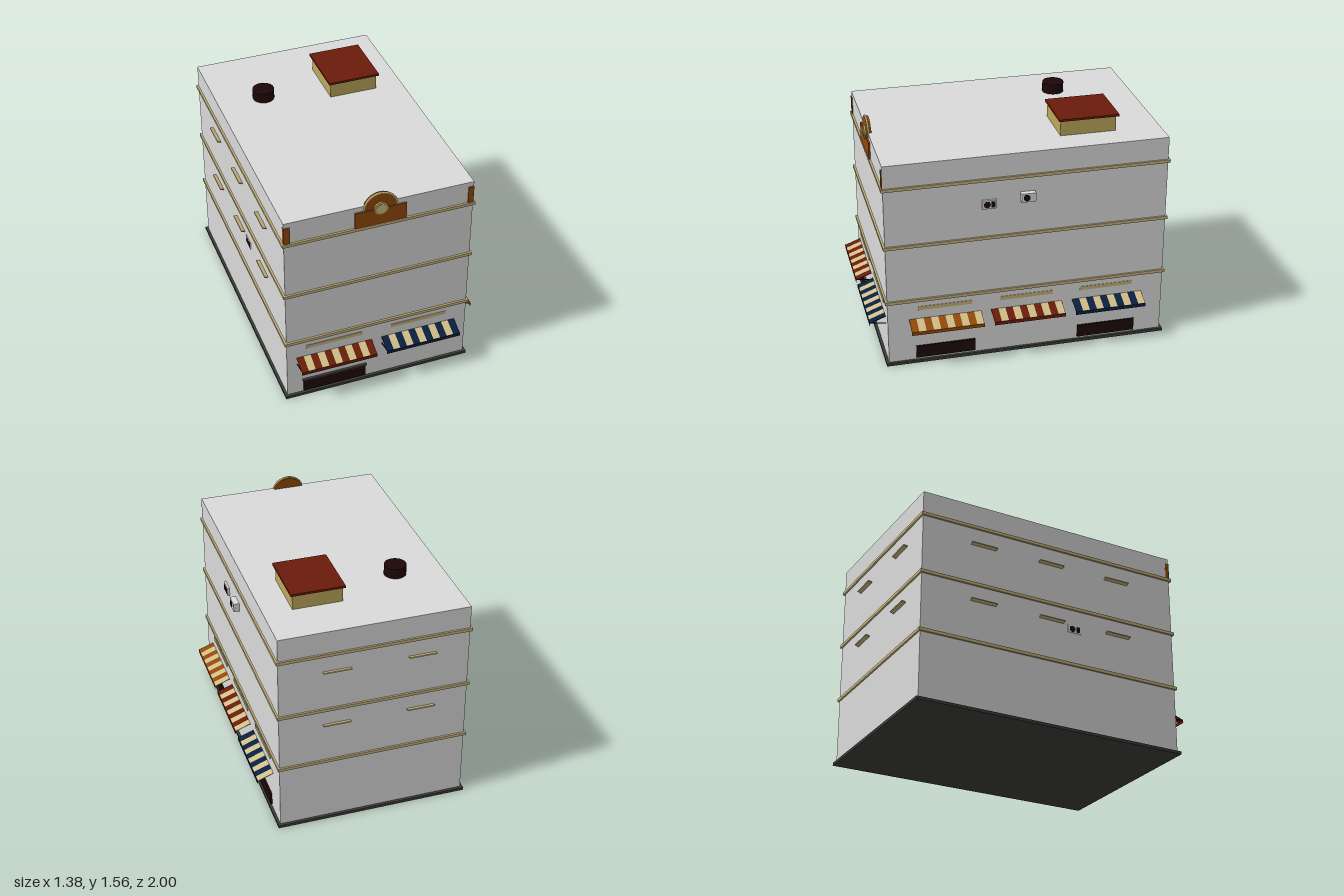
import * as THREE from 'three';

const mat = (name, color) => {
  const m = new THREE.MeshStandardMaterial({ color });
  m.name = name;
  return m;
};

export function createModel() {
  const M = {
    wall: mat('wall grey', 0xdadada),
    base: mat('plinth charcoal', 0x3c3d38),
    trim: mat('trim sand', 0xc6b47c),
    cream: mat('awning cream', 0xd0be88),
    red: mat('brick red', 0x6b1c0a),
    blue: mat('navy', 0x0a2040),
    orange: mat('ochre', 0x924a0a),
    dark: mat('dark brown', 0x1e0607),
    hut: mat('rooftop yellow', 0xbca85c),
  };
  const root = new THREE.Group();
  root.name = 'building';

  const add = (name, geo, material, parent = root) => {
    const mesh = new THREE.Mesh(geo, material);
    mesh.name = name;
    parent.add(mesh);
    return mesh;
  };
  // Box given by its minimum and maximum corners
  const box = (name, material, x0, x1, y0, y1, z0, z1, parent = root) => {
    const b = add(name, new THREE.BoxGeometry(x1 - x0, y1 - y0, z1 - z0), material, parent);
    b.position.set((x0 + x1) / 2, (y0 + y1) / 2, (z0 + z1) / 2);
    return b;
  };
  // Disc facing +z, or +x / -x when turned
  const disc = (name, material, r, depth, x, y, z, turn = 0) => {
    const g = new THREE.CylinderGeometry(r, r, depth, 32).rotateX(Math.PI / 2).rotateY(turn);
    const d = add(name, g, material);
    d.position.set(x, y, z);
    return d;
  };

  // Main block, plinth and storey ledges
  const X0 = -0.665, X1 = 0.582, Z0 = -0.972, Z1 = 0.892;
  box('walls', M.wall, X0, X1, 0.01, 1.44, Z0, Z1);
  box('plinth', M.base, -0.682, 0.599, 0, 0.02, -0.99, 0.91);
  for (const y of [0.467, 0.867, 1.276])
    box('ledge', M.trim, -0.678, 0.594, y - 0.0105, y + 0.0105, -0.984, 0.905);

  // Front crest: block, round head with rim, medallion, corner strips
  box('crestBlock', M.orange, -0.21, 0.13, 1.285, 1.403, 0.885, 0.903);
  disc('crestHead', M.orange, 0.107, 0.026, -0.04, 1.403, 0.882);
  const rim = add('crestRim', new THREE.TorusGeometry(0.108, 0.007, 8, 32, Math.PI), M.trim);
  rim.position.set(-0.04, 1.403, 0.889);
  disc('medallionRing', M.hut, 0.045, 0.012, -0.04, 1.406, 0.902);
  disc('medallion', M.cream, 0.031, 0.014, -0.04, 1.406, 0.903);
  box('cornerStrip', M.orange, X0 - 0.001, -0.625, 1.285, 1.406, 0.87, 0.898);
  box('cornerStrip', M.orange, 0.545, X1, 1.285, 1.406, 0.885, 0.898);

  // Rooftop hut and tank
  box('roofHut', M.hut, 0.07, 0.395, 1.435, 1.545, -0.67, -0.3);
  box('roofHutCap', M.red, 0.056, 0.41, 1.543, 1.558, -0.687, -0.287);
  const tank = add('roofTank', new THREE.CylinderGeometry(0.072, 0.072, 0.07, 24), M.dark);
  tank.position.set(-0.352, 1.473, -0.455);

  // Striped awning facing +z, its back edge on the wall
  const awning = (color, width, stripes, x, z, turn, arms) => {
    const g = new THREE.Group();
    g.name = 'awning';
    const w = width / stripes, reach = 0.105, drop = 0.04;
    const slope = Math.atan2(drop, reach), length = Math.hypot(reach, drop);
    for (let i = 0; i < stripes; i++) {
      const s = add('awningStripe', new THREE.BoxGeometry(w, 0.005, length), i % 2 ? M.cream : color, g);
      s.position.set(-width / 2 + (i + 0.5) * w, 0.306, reach / 2);
      s.rotation.x = slope;
    }
    box('awningValance', color, -width / 2, width / 2, 0.268, 0.292, reach - 0.001, reach + 0.003, g);
    for (const side of arms ? [-1, 1] : []) {
      const arm = add('awningArm', new THREE.BoxGeometry(0.006, 0.005, 0.104), M.dark, g);
      arm.position.set(side * (width / 2 - 0.004), 0.28, reach / 2);
      arm.rotation.x = -0.17;
    }
    g.position.set(x, 0, z);
    g.rotation.y = turn;
    root.add(g);
  };
  awning(M.red, 0.516, 11, -0.34, Z1, 0, true);
  awning(M.blue, 0.516, 11, 0.245, Z1, 0, true);
  awning(M.orange, 0.48, 10, X1, 0.512, Math.PI / 2, false);
  awning(M.red, 0.48, 10, X1, -0.036, Math.PI / 2, false);
  awning(M.blue, 0.48, 10, X1, -0.588, Math.PI / 2, false);

  // Sign strips above the awnings
  for (const x of [-0.34, 0.245])
    box('signStrip', M.trim, x - 0.193, x + 0.193, 0.39, 0.417, Z1 - 0.002, Z1 + 0.003);
  for (const z of [0.51, -0.036, -0.58])
    box('signStrip', M.trim, X1 - 0.002, X1 + 0.003, 0.39, 0.417, z - 0.18, z + 0.18);

  // Low shop windows
  box('frontWindow', M.dark, -0.555, -0.125, 0.03, 0.122, Z1 - 0.005, Z1 + 0.01);
  box('frontWindowHood', M.base, -0.562, -0.118, 0.119, 0.129, Z1 - 0.005, Z1 + 0.016);
  for (const z of [0.512, -0.586])
    box('sideWindow', M.dark, X1 - 0.005, X1 + 0.011, 0.035, 0.122, z - 0.198, z + 0.198);

  // Air conditioners on the right wall
  box('airUnit', M.wall, X1, 0.597, 1.077, 1.137, 0.168, 0.262);
  disc('airUnitFan', M.dark, 0.022, 0.004, 0.598, 1.107, 0.23, Math.PI / 2);
  box('airUnitVent', M.dark, 0.596, 0.6, 1.087, 1.127, 0.177, 0.204);
  box('airUnit', M.wall, X1, 0.62, 1.107, 1.167, -0.083, 0.012);
  disc('airUnitFan', M.dark, 0.022, 0.004, 0.621, 1.137, -0.023, Math.PI / 2);

  // Air conditioner set into the left wall
  box('airUnit', M.wall, X0 - 0.004, X0, 0.694, 0.75, 0.075, 0.175);
  disc('airUnitFan', M.dark, 0.021, 0.004, X0 - 0.004, 0.722, 0.11, Math.PI / 2);
  box('airUnitVent', M.dark, X0 - 0.006, X0, 0.703, 0.741, 0.14, 0.164);

  // Sloped window hoods on the left and rear walls
  for (const y of [1.153, 0.753]) {
    for (const z of [-0.54, -0.045, 0.455]) {
      const h = add('windowHood', new THREE.BoxGeometry(0.03, 0.008, 0.18), M.trim);
      h.position.set(X0 - 0.01, y, z);
      h.rotation.z = -0.25;
    }
    for (const x of [-0.352, 0.205]) {
      const h = add('windowHood', new THREE.BoxGeometry(0.18, 0.008, 0.03), M.trim);
      h.position.set(x, y, Z0 - 0.012);
      h.rotation.x = 0.25;
    }
  }
  return root;
}
